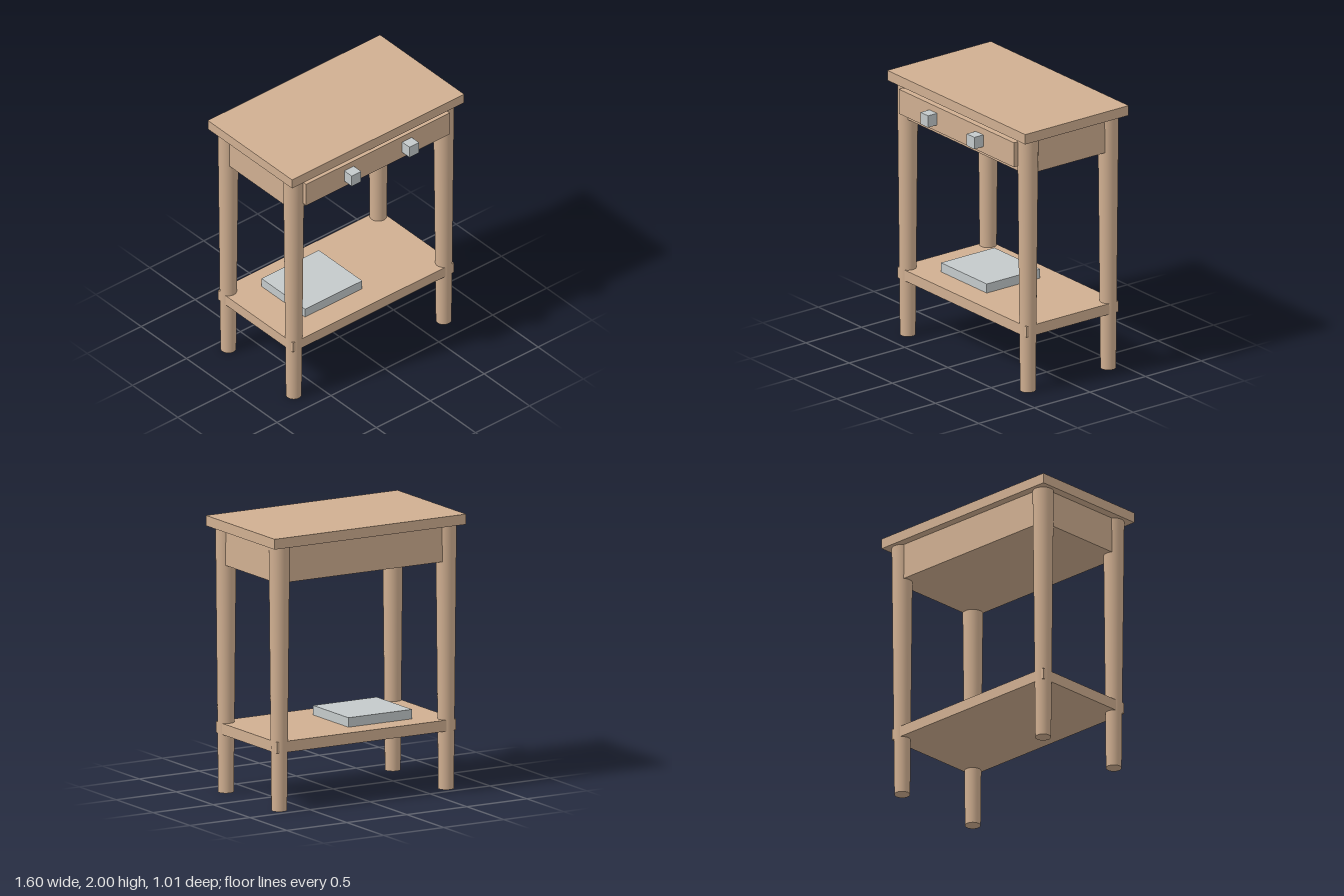
import * as THREE from 'three';

export function createModel() {
  const table = new THREE.Group();
  table.name = 'sideTable';
  const wood = new THREE.MeshStandardMaterial({ color: 0xd0af91 });
  wood.name = 'light wood';
  const grey = new THREE.MeshStandardMaterial({ color: 0xc4cacb });
  grey.name = 'pale grey';

  // Box given by its lower and upper limits on each axis
  function box(name, material, [x0, x1], [y0, y1], [z0, z1]) {
    const mesh = new THREE.Mesh(new THREE.BoxGeometry(x1 - x0, y1 - y0, z1 - z0), material);
    mesh.position.set((x0 + x1) / 2, (y0 + y1) / 2, (z0 + z1) / 2);
    mesh.name = name;
    table.add(mesh);
  }

  // The table body is centred slightly behind z = 0, as the knobs stick out in front
  const cz = -0.04;

  box('tableTop', wood, [-0.798, 0.798], [1.925, 2], [-0.505, 0.425]);
  box('apron', wood, [-0.735, 0.735], [1.66, 1.925], [cz - 0.405, cz + 0.405]);
  box('shelf', wood, [-0.747, 0.747], [0.427, 0.508], [cz - 0.414, cz + 0.414]);

  // Tapered round legs, narrower at the floor
  const legGeometry = new THREE.CylinderGeometry(0.075, 0.056, 1.925, 32);
  for (const sx of [-1, 1]) {
    for (const sz of [-1, 1]) {
      const leg = new THREE.Mesh(legGeometry, wood);
      leg.name = (sz > 0 ? 'front' : 'back') + (sx > 0 ? 'Left' : 'Right') + 'Leg';
      leg.position.set(sx * 0.695, 1.925 / 2, cz + sz * 0.361);
      table.add(leg);
    }
  }

  // Drawer with two square knobs
  box('drawerFront', wood, [-0.666, 0.666], [1.711, 1.897], [0.35, 0.424]);
  for (const x of [-0.268, 0.268]) {
    box('drawerKnob', grey, [x - 0.044, x + 0.044], [1.759, 1.849], [0.42, 0.505]);
  }

  // Flat book lying on the shelf
  box('book', grey, [-0.48, 0.05], [0.508, 0.577], [-0.29, 0.19]);

  return table;
}
